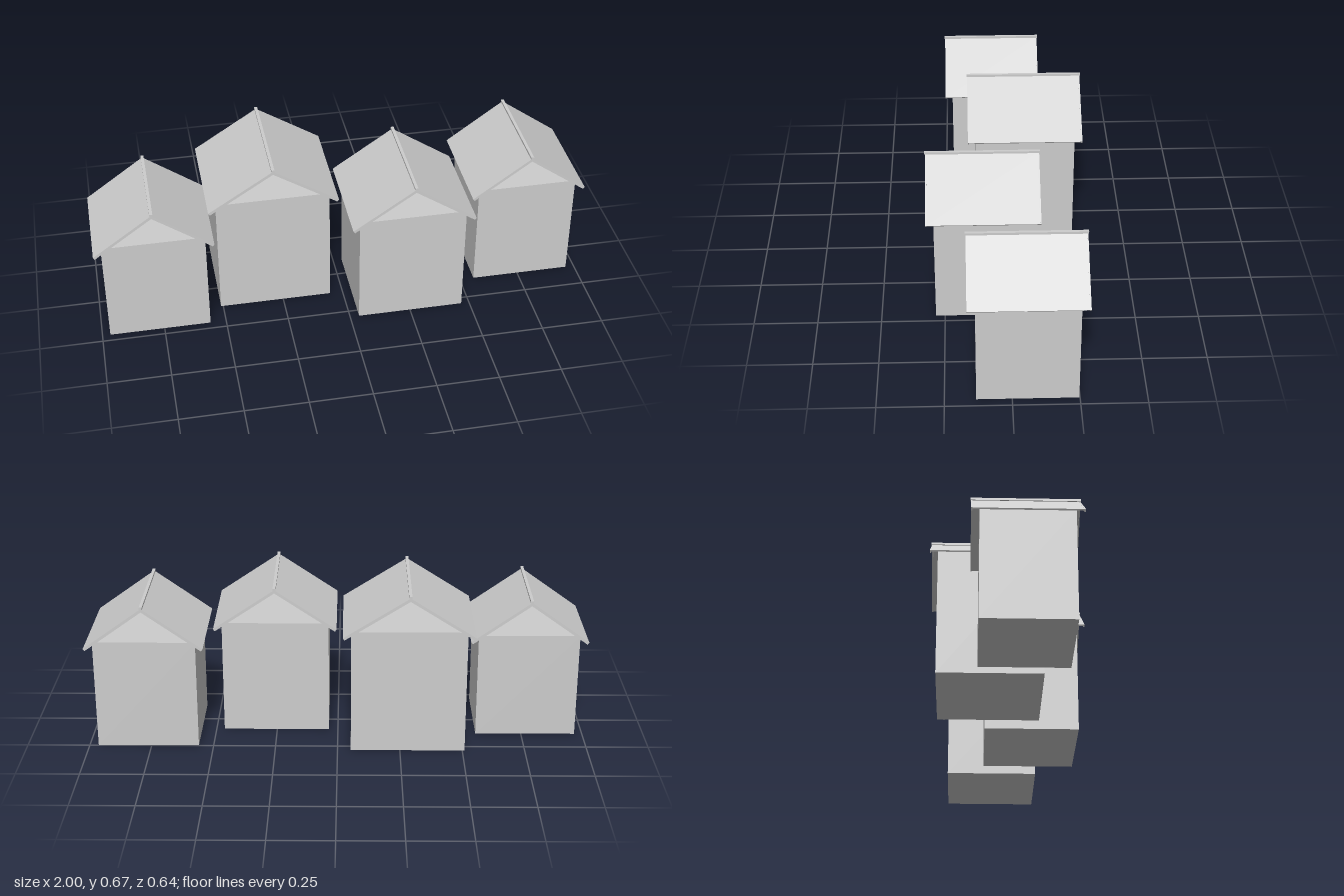
import * as THREE from 'three';

const grey = new THREE.MeshStandardMaterial({ color: 0xcccccc });
grey.name = 'plain grey';

const RISE = 0.145;      // underside of the ridge above the wall top
const EAVE = 0.032;      // sideways overhang
const GABLE = 0.03;      // overhang at front and back

function addMesh(group, name, geometry, x, y, z) {
  const mesh = new THREE.Mesh(geometry, grey);
  mesh.name = name;
  mesh.position.set(x, y, z);
  group.add(mesh);
}

// Inverted V with square-cut eaves, from `low` to `high` measured vertically
// about the line that joins wall corner and ridge.
function chevron(halfWall, low, high, depth) {
  const slope = RISE / halfWall;
  const half = halfWall + EAVE;
  const cut = (high - low) * slope / (1 + slope * slope);
  const inner = half - cut;
  const shape = new THREE.Shape();
  shape.moveTo(-half, RISE - half * slope + high);
  shape.lineTo(-inner, RISE - inner * slope + low);
  shape.lineTo(0, RISE + low);
  shape.lineTo(inner, RISE - inner * slope + low);
  shape.lineTo(half, RISE - half * slope + high);
  shape.lineTo(0, RISE + high);
  shape.closePath();
  const geometry = new THREE.ExtrudeGeometry(shape, { depth, bevelEnabled: false });
  geometry.translate(0, 0, -depth / 2);
  return geometry;
}

function createHouse({ x, z, width, height, depth }) {
  const house = new THREE.Group();
  house.name = 'house';
  house.position.set(x, 0, z);
  const roofDepth = depth + 2 * GABLE;

  addMesh(house, 'walls', new THREE.BoxGeometry(width, height, depth), 0, height / 2, 0);
  addMesh(house, 'roof', chevron(width / 2, 0, 0.007, roofDepth - 0.008), 0, height, 0);
  // Slim boards along the front and back roof edges
  for (const side of [1, -1]) {
    addMesh(house, side > 0 ? 'frontBargeboard' : 'backBargeboard',
      chevron(width / 2, -0.006, 0.0075, 0.005), 0, height, side * (roofDepth / 2 - 0.0025));
  }
  addMesh(house, 'ridgeCap', new THREE.BoxGeometry(0.012, 0.009, roofDepth + 0.005),
    0, height + RISE + 0.0105, 0);
  return house;
}

export function createModel() {
  const row = new THREE.Group();
  row.name = 'rowOfHouses';
  const houses = [
    { x: -0.766, z: 0.043, width: 0.405, height: 0.433, depth: 0.345 },
    { x: -0.281, z: -0.082, width: 0.456, height: 0.51, depth: 0.405 },
    { x: 0.252, z: 0.096, width: 0.43, height: 0.47, depth: 0.38 },
    { x: 0.762, z: -0.057, width: 0.405, height: 0.448, depth: 0.38 },
  ];
  for (const spec of houses) row.add(createHouse(spec));
  return row;
}
